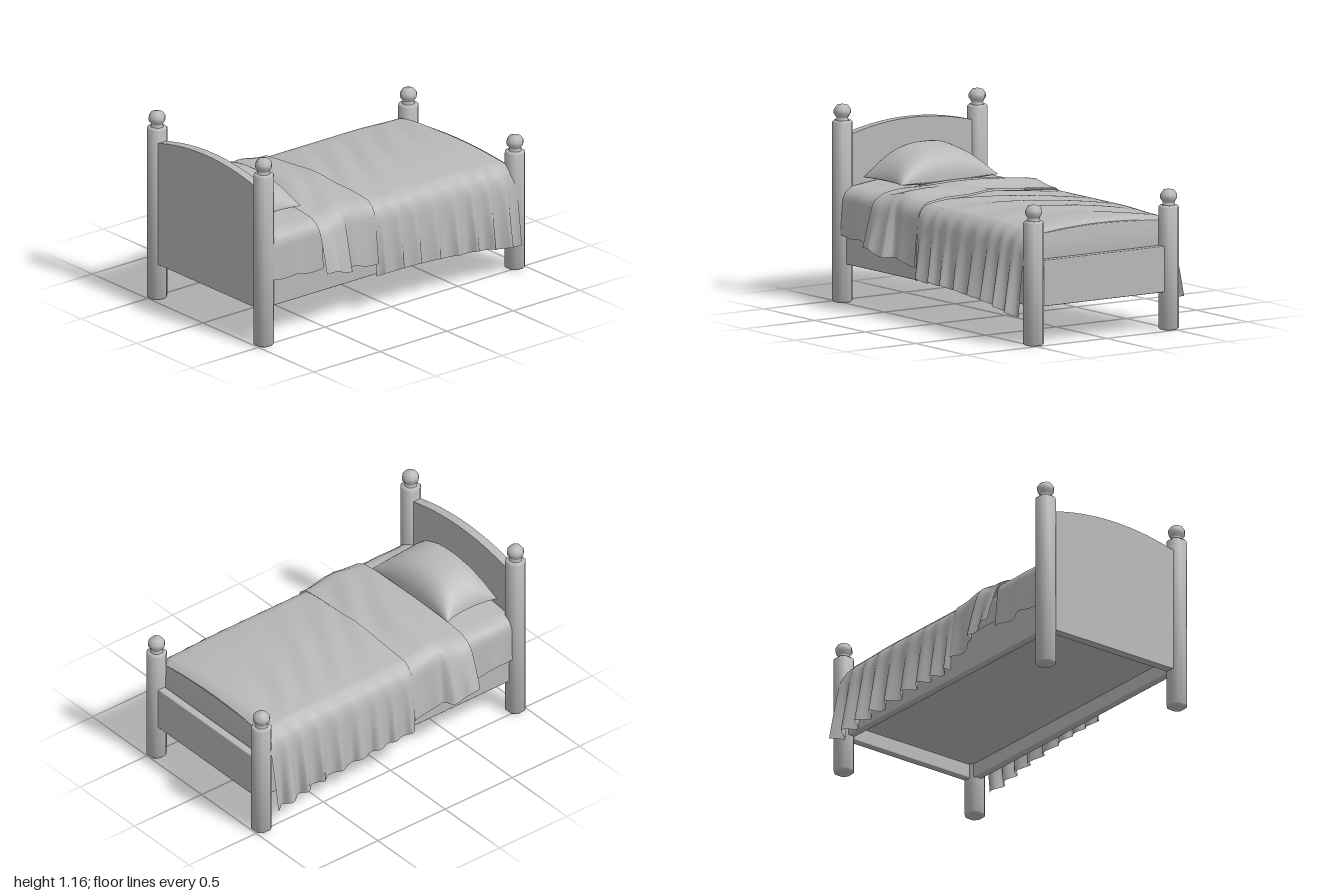
import * as THREE from 'three';
import { toCreasedNormals } from 'three/addons/utils/BufferGeometryUtils.js';
import { RoundedBoxGeometry } from 'three/addons/geometries/RoundedBoxGeometry.js';

const lerp = THREE.MathUtils.lerp;
const smooth = THREE.MathUtils.smoothstep;

export function createModel() {
  const grey = new THREE.MeshStandardMaterial({ color: 0xb8b8b8, side: THREE.DoubleSide });
  grey.name = 'warm grey';
  const bed = new THREE.Group();
  bed.name = 'bed';

  const add = (name, geometry, x = 0, y = 0, z = 0) => {
    const mesh = new THREE.Mesh(geometry, grey);
    mesh.name = name;
    mesh.position.set(x, y, z);
    bed.add(mesh);
    return mesh;
  };
  const box = (name, x0, x1, y0, y1, z0, z1) => add(name,
    new RoundedBoxGeometry(x1 - x0, y1 - y0, z1 - z0, 1, 0.006),
    (x0 + x1) / 2, (y0 + y1) / 2, (z0 + z1) / 2);

  // Indexed surface from a rule (u, v in 0..1) -> [x, y, z]
  const surface = (nu, nv, rule) => {
    const pos = [], index = [];
    for (let i = 0; i <= nu; i++) {
      for (let j = 0; j <= nv; j++) {
        pos.push(...rule(i / nu, j / nv));
        if (i < nu && j < nv) {
          const a = i * (nv + 1) + j, b = a + nv + 1;
          index.push(a, a + 1, b, b, a + 1, b + 1);
        }
      }
    }
    const g = new THREE.BufferGeometry();
    g.setAttribute('position', new THREE.Float32BufferAttribute(pos, 3));
    g.setIndex(index);
    g.computeVertexNormals();
    return g;
  };

  // Square posts with chamfered corners, and a ball finial on top
  const h = 0.045, c = 0.022;
  const section = new THREE.Shape([
    [h, -c], [h, c], [c, h], [-c, h], [-h, c], [-h, -c], [-c, -h], [c, -h],
  ].map(([x, y]) => new THREE.Vector2(x, y)));
  const ball = [
    [0.042, -0.005], [0.034, 0.012], [0.037, 0.02], [0.051, 0.04],
    [0.051, 0.062], [0.034, 0.087], [0, 0.096],
  ].map(([r, y]) => new THREE.Vector2(r, y));
  const post = (name, x, z, top) => {
    const shaft = new THREE.ExtrudeGeometry(section, {
      depth: top - 0.116, bevelThickness: 0.01, bevelSize: 0.01, bevelSegments: 1,
    });
    shaft.rotateX(-Math.PI / 2);
    add(name, toCreasedNormals(shaft, 0.85), x, 0.01, z);
    const finial = new THREE.LatheGeometry(ball, 8);
    finial.rotateY(Math.PI / 8);
    add(name + 'Finial', finial, x, top - 0.096, z);
  };
  for (const s of [1, -1]) {
    const side = s > 0 ? 'Front' : 'Back';
    post('headPost' + side, -0.945, 0.481 * s, 1.16);
    post('footPost' + side, 0.945, 0.481 * s, 0.825);
    // Side rails
    box('sideRail' + side, -0.94, 0.94, 0.225, 0.45, 0.465 * s - 0.025, 0.465 * s + 0.025);
  }

  // Arched headboard
  const arch = new THREE.Shape();
  arch.moveTo(-0.46, 0.225);
  arch.lineTo(0.46, 0.225);
  arch.lineTo(0.46, 0.972);
  arch.quadraticCurveTo(0, 1.1, -0.46, 0.972);
  arch.closePath();
  const board = new THREE.ExtrudeGeometry(arch, { depth: 0.055, bevelEnabled: false, curveSegments: 16 });
  board.rotateY(Math.PI / 2);
  add('headboard', board, -0.977, 0, 0);

  // Footboard, recessed slat base and mattress
  box('footboard', 0.925, 0.975, 0.225, 0.495, -0.46, 0.46);
  box('bedBase', -0.94, 0.94, 0.31, 0.35, -0.45, 0.45);
  add('mattress', new RoundedBoxGeometry(1.8, 0.32, 0.9, 3, 0.04), -0.015, 0.485, 0);

  // Cloth laid over the mattress and hanging down both sides
  const drape = (name, x0, x1, nx, o) => {
    const nz = 48, half = 0.46;
    add(name, surface(nx, nz, (u, t) => {
      const x = lerp(x0, x1, u), v = t * 2 - 1, side = Math.sign(v), a = Math.abs(v);
      const edge = o.top(x) - 0.03;
      if (a <= 0.5) {
        // Crowned top with slanting creases
        const q = a / 0.5, z = side * half * q;
        const crease = o.crease * Math.sin(25 * x + 7 * z + 2 * Math.sin(5 * z + 3 * x)) * (1 - q ** 4);
        return [x, edge + 0.03 * (1 - q * q) + crease, z];
      }
      // Hanging side, flaring into ripples toward the hem
      const s = (a - 0.5) / 0.5;
      const wave = Math.sin(o.pitch * x + (side > 0 ? 0 : 1.3) + 0.8 * Math.sin(9 * x));
      const hem = o.hem(x) + 0.01 * wave;
      const z = half + 0.05 * Math.sqrt(Math.min(1, s * 5)) + o.flare(x) * s ** 0.8 + o.ripple(x) * wave * s;
      return [x + 0.012 * s * Math.cos(o.pitch * x), lerp(edge, hem, s), side * z];
    }));
  };

  drape('sheet', -0.91, -0.54, 20, {
    top: () => 0.705, hem: x => lerp(0.40, 0.375, (x + 0.91) / 0.37),
    flare: () => 0.01, ripple: () => 0.008, pitch: 24, crease: 0.002,
  });
  drape('foldedCover', -0.57, -0.14, 32, {
    top: x => 0.713 + 0.028 * Math.exp(-(((x + 0.35) / 0.11) ** 2)),
    hem: x => lerp(0.385, 0.31, (x + 0.57) / 0.43),
    flare: x => lerp(0.105, 0.035, smooth(x, -0.385, -0.36)),
    ripple: () => 0.012, pitch: 36, crease: 0.005,
  });
  const blanketTop = x => 0.703 - 0.012 * smooth(x, 0.5, 0.85) - 0.03 * smooth(x, 0.84, 0.93) ** 2;
  drape('blanket', -0.15, 0.915, 96, {
    top: blanketTop,
    hem: x => 0.245 - 0.03 * smooth(x, 0.1, 0.7) - 0.045 * smooth(x, 0.55, 0.92),
    flare: x => lerp(0.045, 0.07, (x + 0.15) / 1.06),
    ripple: x => lerp(0.018, 0.032, (x + 0.15) / 1.06), pitch: 47, crease: 0.005,
  });

  // Blanket end tucked down behind the footboard
  add('blanketEnd', surface(6, 20, (u, t) => {
    const z = lerp(-0.46, 0.46, t), top = blanketTop(0.915) - 0.03 * (z / 0.46) ** 2;
    return [0.913 + 0.01 * Math.sin(u * Math.PI), lerp(top, 0.42, u), z];
  }));

  // Plump pillow with drawn-out corners, fullest toward the headboard
  const pillow = new THREE.Group();
  pillow.name = 'pillow';
  const pillowHalf = (name, height, tilt) => {
    const mesh = add(name, surface(20, 28, (a, b) => {
      const u = Math.sin((a - 0.5) * Math.PI), v = Math.sin((b - 0.5) * Math.PI);
      const puff = Math.sqrt(Math.max(0, 1 - Math.abs(u) ** 3.2)) * Math.max(0, 1 - Math.abs(v) ** 2.4) ** 0.65;
      const x = -0.735 + 0.185 * u * (0.95 + 0.05 * v * v);
      const z = 0.345 * v * (0.92 + 0.08 * u * u);
      return [x, 0.72 + height * puff * (1 - tilt * u), z];
    }));
    pillow.add(mesh);
  };
  pillowHalf('pillowTop', 0.187, 0.16);
  pillowHalf('pillowUnderside', -0.03, 0);
  bed.add(pillow);

  return bed;
}
